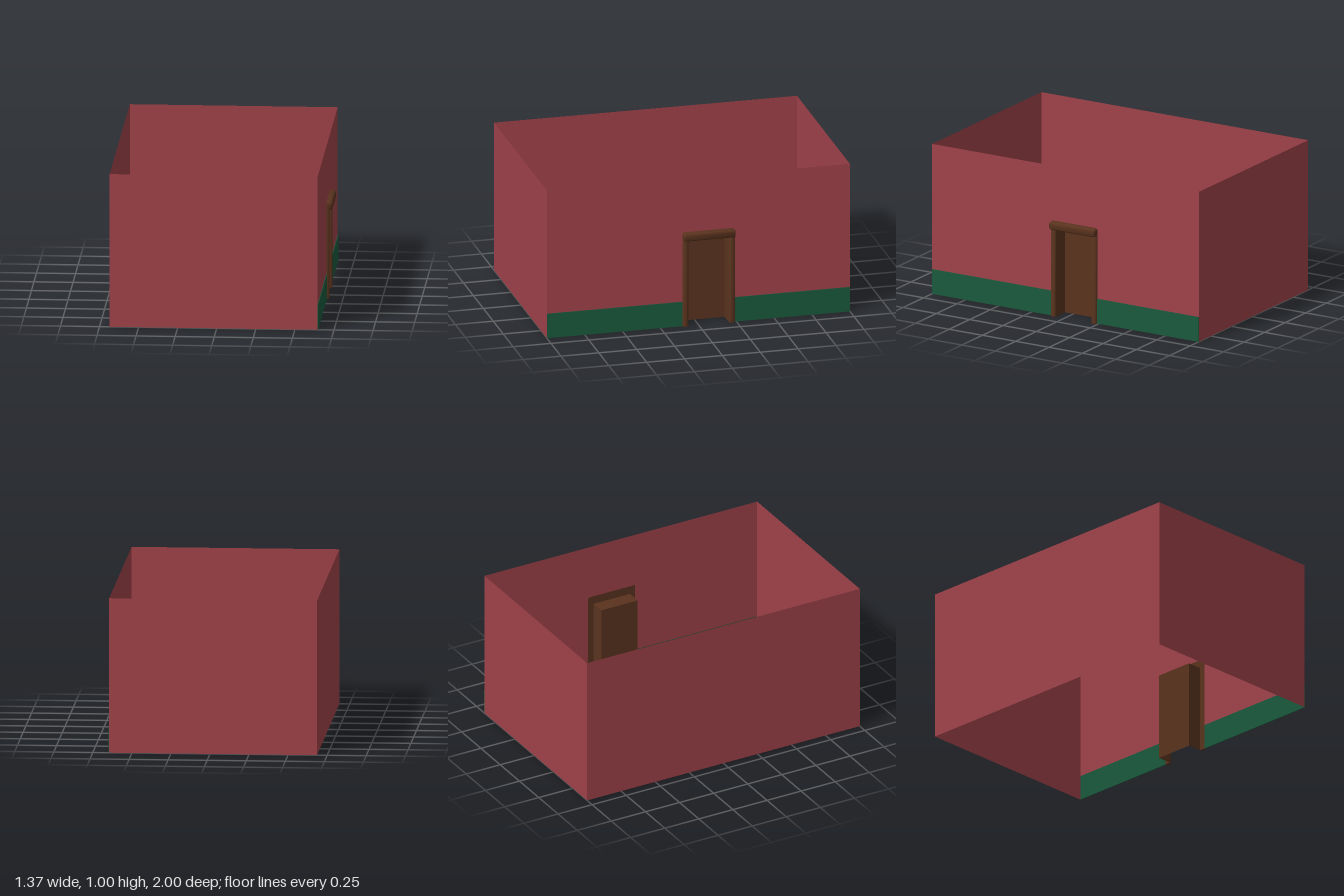
import * as THREE from 'three';
import { RoundedBoxGeometry } from 'three/addons/geometries/RoundedBoxGeometry.js';
import { toCreasedNormals } from 'three/addons/utils/BufferGeometryUtils.js';

const X0 = -0.685, X1 = 0.645, XB = 0.545;      // plain wall, door wall, back of alcove
const SKIRT = 0.165, HEIGHT = 1;
const FRAME = { z0: -0.24, z1: 0.105, top: 0.635 };
const DOOR = { z0: -0.2, z1: 0.067, top: 0.58 };

const paint = (color) => new THREE.MeshStandardMaterial({ color, side: THREE.DoubleSide });

export function createModel() {
  const model = new THREE.Group();
  const red = paint(0xa0424a), green = paint(0x1a5a3c), brown = paint(0x5a331e);

  const add = (parent, name, geometry, material) => {
    const mesh = new THREE.Mesh(geometry, material);
    mesh.name = name;
    parent.add(mesh);
    return mesh;
  };

  // Thin upright panel facing +x, spanning z0..z1 and y0..y1
  const panelX = (x, z0, z1, y0, y1) =>
    new THREE.PlaneGeometry(z1 - z0, y1 - y0).rotateY(Math.PI / 2).translate(x, (y0 + y1) / 2, (z0 + z1) / 2);
  // Thin upright panel facing +z
  const panelZ = (z, x0, x1, y0, y1) =>
    new THREE.PlaneGeometry(x1 - x0, y1 - y0).translate((x0 + x1) / 2, (y0 + y1) / 2, z);

  // Plain walls
  const walls = new THREE.Group();
  walls.name = 'walls';
  model.add(walls);
  add(walls, 'frontWall', panelZ(1, X0, X1, 0, HEIGHT), red);
  add(walls, 'backWall', panelZ(-1, X0, X1, 0, HEIGHT).rotateY(0), red);
  add(walls, 'plainSideWall', panelX(X0, -1, 1, 0, HEIGHT), red);

  // Door wall above the skirting, notched around the door frame
  const outline = new THREE.Shape([
    [-1, SKIRT], [-FRAME.z1, SKIRT], [-FRAME.z1, FRAME.top], [-FRAME.z0, FRAME.top],
    [-FRAME.z0, SKIRT], [1, SKIRT], [1, HEIGHT], [-1, HEIGHT],
  ].map(([a, y]) => new THREE.Vector2(a, y)));
  add(walls, 'doorWall', new THREE.ShapeGeometry(outline).rotateY(Math.PI / 2).translate(X1, 0, 0), red);

  // Skirting either side of the door, standing slightly proud of the wall
  for (const [z0, z1] of [[-1, FRAME.z0], [FRAME.z1, 1]]) {
    add(walls, 'skirting', new THREE.BoxGeometry(0.004, SKIRT, z1 - z0)
      .translate(X1 + 0.002, SKIRT / 2, (z0 + z1) / 2), green);
  }

  // Door alcove, open to the outside and below
  const doorway = new THREE.Group();
  doorway.name = 'doorway';
  model.add(doorway);
  add(doorway, 'door', panelX(XB, DOOR.z0, DOOR.z1, 0, DOOR.top), brown);
  for (const z of [DOOR.z0, DOOR.z1]) add(doorway, 'alcoveSide', panelZ(z, XB, X1, 0, DOOR.top), brown);
  add(doorway, 'alcoveTop', new THREE.PlaneGeometry(X1 - XB, DOOR.z1 - DOOR.z0).rotateX(-Math.PI / 2)
    .translate((XB + X1) / 2, DOOR.top, (DOOR.z0 + DOOR.z1) / 2), brown);

  // Frame moulding: rounded bar cut flat at the wall and at the ground
  const moulding = (depth, y0, y1, z0, z1, radius) => {
    const bar = new RoundedBoxGeometry(depth * 2, y1 - y0, z1 - z0, 3, radius)
      .translate(X1, (y0 + y1) / 2, (z0 + z1) / 2);
    const p = bar.attributes.position;
    for (let i = 0; i < p.count; i++) {
      p.setX(i, Math.max(p.getX(i), X1));
      p.setY(i, Math.max(p.getY(i), 0));
    }
    return toCreasedNormals(bar, 0.7);
  };
  for (const [z0, z1] of [[FRAME.z0, DOOR.z0], [DOOR.z1, FRAME.z1]]) {
    add(doorway, 'doorJamb', moulding(0.018, -0.03, DOOR.top + 0.02, z0, z1, 0.014), brown);
  }
  add(doorway, 'lintel', moulding(0.039, DOOR.top, FRAME.top, FRAME.z0, FRAME.z1, 0.016), brown);

  return model;
}
